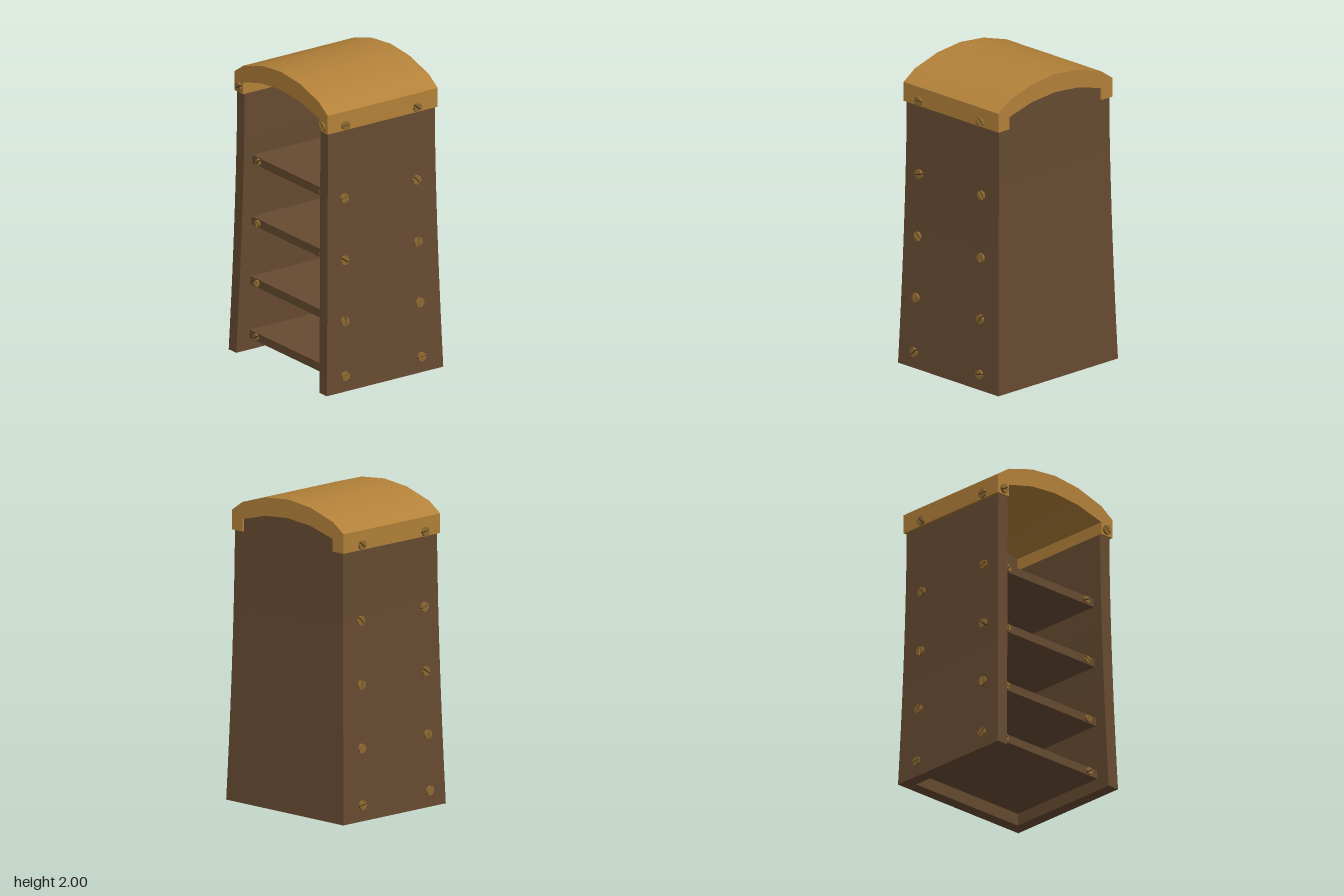
import * as THREE from 'three';
import { toCreasedNormals } from 'three/addons/utils/BufferGeometryUtils.js';

const material = (color) => new THREE.MeshStandardMaterial({ color });
const wood = material(0x674b31);
const roofWood = material(0xb38139);
const metal = material(0x8f6a30);
const dark = material(0x3a2a18);

const WALL = 0.08;
// Half width and half depth of the cabinet, flaring towards the floor
const flare = (y) => Math.pow(Math.max(0, 1 - y / 1.75), 1.6);
const halfX = (y) => 0.48 + 0.04 * flare(y);
const halfZ = (y) => 0.413 + 0.037 * flare(y);
// Height of the arch under the roof
const archY = (x) => 1.81 + 0.07 * (1 - Math.pow(Math.min(1, Math.abs(x) / 0.4), 2));

function createModel() {
  const group = new THREE.Group();

  function add(name, geometry, mat, parent = group) {
    const mesh = new THREE.Mesh(geometry, mat);
    mesh.name = name;
    parent.add(mesh);
    return mesh;
  }

  // Panel over the unit square/height, with every vertex moved by a rule
  function panel(xSegments, rule) {
    const geometry = new THREE.BoxGeometry(1, 1, 1, xSegments, 10, 1);
    const p = geometry.attributes.position;
    for (let i = 0; i < p.count; i++) {
      p.setXYZ(i, ...rule(p.getX(i), p.getY(i) + 0.5, p.getZ(i)));
    }
    geometry.computeVertexNormals();
    return geometry;
  }

  // Slotted screw head facing +z: a base disc and two raised half discs
  const gap = 0.004;
  function screw(name, radius, x, y, z, rotY, spin) {
    const head = new THREE.Group();
    head.name = name;
    const base = add('screwBase', new THREE.CylinderGeometry(radius * 0.97, radius, 0.008, 14), dark, head);
    base.rotation.x = Math.PI / 2;
    base.position.z = 0.002;
    const a = Math.asin(gap / radius);
    const half = new THREE.Shape().absarc(0, 0, radius, a, Math.PI - a, false);
    half.closePath();
    const geometry = new THREE.ExtrudeGeometry(half, { depth: 0.014, bevelEnabled: false, curveSegments: 8 });
    for (const turn of [0, Math.PI]) add('screwHalf', geometry, metal, head).rotation.z = turn + spin;
    head.position.set(x, y, z);
    head.rotation.y = rotY;
    group.add(head);
  }

  // Side walls
  for (const s of [-1, 1]) {
    add(s > 0 ? 'leftWall' : 'rightWall', panel(1, (x, t, z) => {
      const y = t * 1.8;
      return [s * (halfX(y) - WALL / 2) + x * WALL, y, z * 2 * halfZ(y)];
    }), wood);
  }

  // Back panel, rounded at the top to meet the roof
  add('backPanel', panel(8, (x, t, z) => {
    const y = t * (archY(x * 0.8) + 0.02);
    return [x * 2 * (halfX(y) - WALL), y, -halfZ(y) + (z + 0.5) * WALL];
  }), wood);

  // Arched roof with short legs that clasp the walls
  const outer = [[0.495, 1.73], [0.495, 1.855], [0.4, 1.92], [0.2, 1.98], [0, 2]];
  const inner = [[0, 1.88], [0.2, 1.8625], [0.4, 1.81], [0.4, 1.73]];
  const mirror = (list) => list.slice().reverse().map(([x, y]) => [-x, y]);
  const outline = [
    ...outer, ...mirror(outer).slice(1),
    ...mirror(inner), ...inner.slice(1),
  ].map(([x, y]) => new THREE.Vector2(x, y));
  const roof = new THREE.ExtrudeGeometry(new THREE.Shape(outline), { depth: 0.85, bevelEnabled: false });
  roof.translate(0, 0, -0.425);
  add('roof', toCreasedNormals(roof, 0.4), roofWood);

  // Shelves with their front and side screws
  const shelfFront = 0.35;
  [0.107, 0.467, 0.87, 1.28].forEach((y, i) => {
    const width = 2 * (halfX(y) - WALL) + 0.02;
    const back = -halfZ(y) + WALL - 0.01;
    const shelf = add('shelf', new THREE.BoxGeometry(width, 0.055, shelfFront - back), wood);
    shelf.position.set(0, y, (shelfFront + back) / 2);
    for (const s of [-1, 1]) {
      screw('shelfScrew', 0.023, s * (0.335 + 0.03 * flare(y)), y, shelfFront, 0, 0.6 + i * s);
      const spread = 0.02 * flare(y);
      screw('sideScrew', 0.03, s * halfX(y), y - 0.003, 0.29 + spread, s * Math.PI / 2, 0.7 + i * 0.9);
      screw('sideScrew', 0.03, s * halfX(y), y - 0.003, -0.264 - spread, s * Math.PI / 2, 0.2 + i * 0.7);
    }
  });

  // Roof screws on the sides and the front
  for (const s of [-1, 1]) {
    screw('roofSideScrew', 0.03, s * 0.495, 1.762, 0.29, s * Math.PI / 2, 0.1);
    screw('roofSideScrew', 0.03, s * 0.495, 1.762, -0.264, s * Math.PI / 2, 2.4);
    screw('roofFrontScrew', 0.03, s * 0.443, 1.768, 0.425, 0, s > 0 ? 2.4 : 0.5);
  }

  return group;
}

export { createModel };
